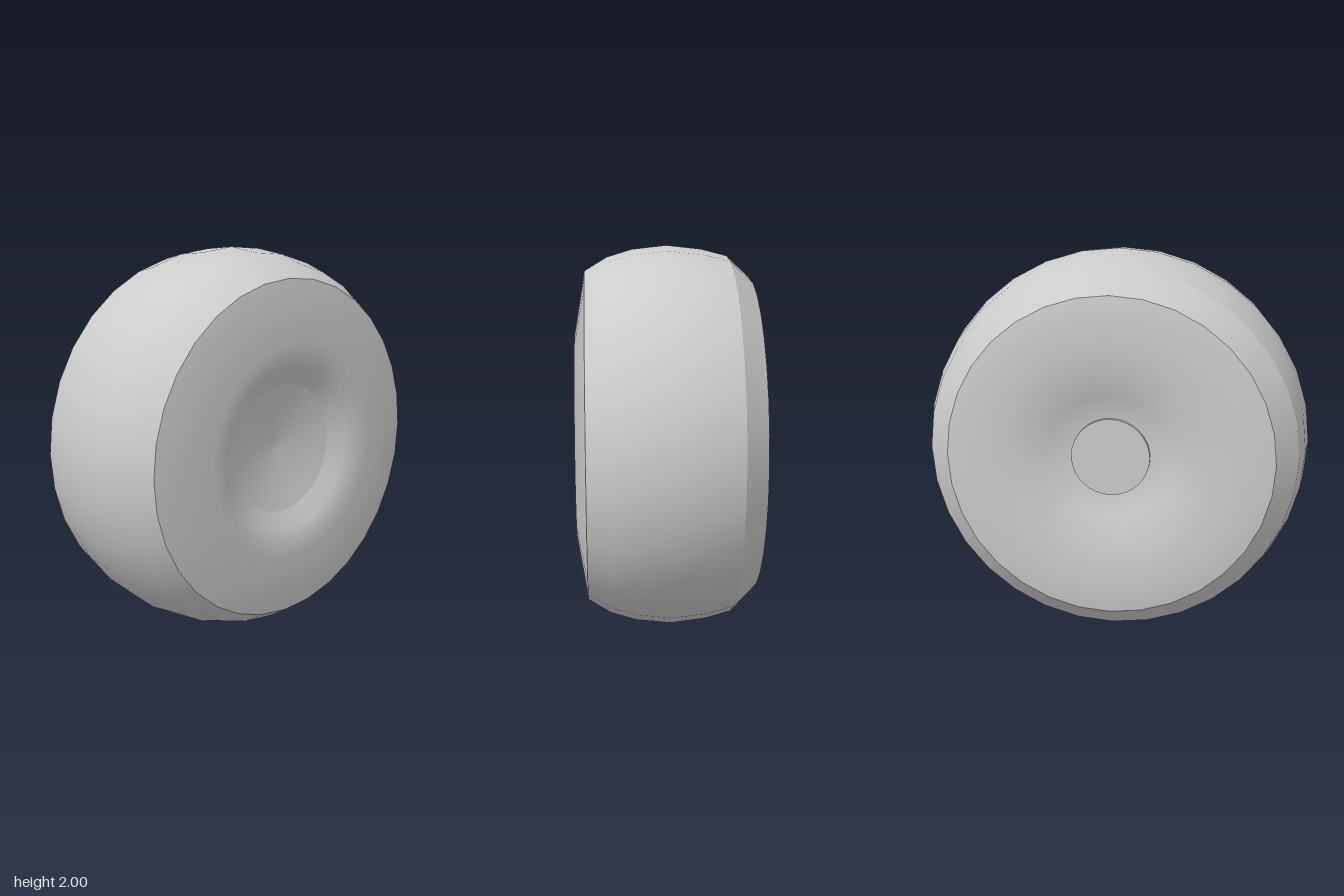
import * as THREE from 'three';

const SIDES = 32;

export function createModel() {
  const group = new THREE.Group();
  group.name = 'wheel';
  const grey = new THREE.MeshStandardMaterial({ color: 0xcccccc });
  grey.name = 'wheel grey';

  // Turns a [radius, z] profile, listed from back to front, around the z axis
  function turned(name, profile) {
    const points = profile.map(([r, z]) => new THREE.Vector2(r, z));
    const geometry = new THREE.LatheGeometry(points, SIDES);
    geometry.rotateX(Math.PI / 2);
    geometry.translate(0, 1, 0);
    const mesh = new THREE.Mesh(geometry, grey);
    mesh.name = name;
    group.add(mesh);
  }

  // Back: raised axle cap in a dished side wall
  turned('axleCap', [[0, -0.395], [0.2, -0.395]]);
  turned('axleCapEdge', [[0.2, -0.395], [0.2, -0.37]]);
  turned('backWall', [[0.2, -0.375], [0.32, -0.39], [0.54, -0.48], [0.83, -0.435]]);

  // Bevel and rounded tread
  turned('backBevel', [[0.83, -0.435], [0.945, -0.315]]);
  turned('tread', [
    [0.945, -0.315], [0.98, -0.18], [1, 0], [0.98, 0.18], [0.94, 0.31], [0.87, 0.425],
  ]);

  // Front: dished side wall, hub ring and shallow hub bowl
  turned('frontWall', [[0.87, 0.425], [0.55, 0.48], [0.43, 0.43], [0.335, 0.385]]);
  turned('hubRing', [[0.335, 0.385], [0.27, 0.37]]);
  turned('hubBowl', [[0.27, 0.37], [0.14, 0.34], [0, 0.33]]);

  return group;
}
